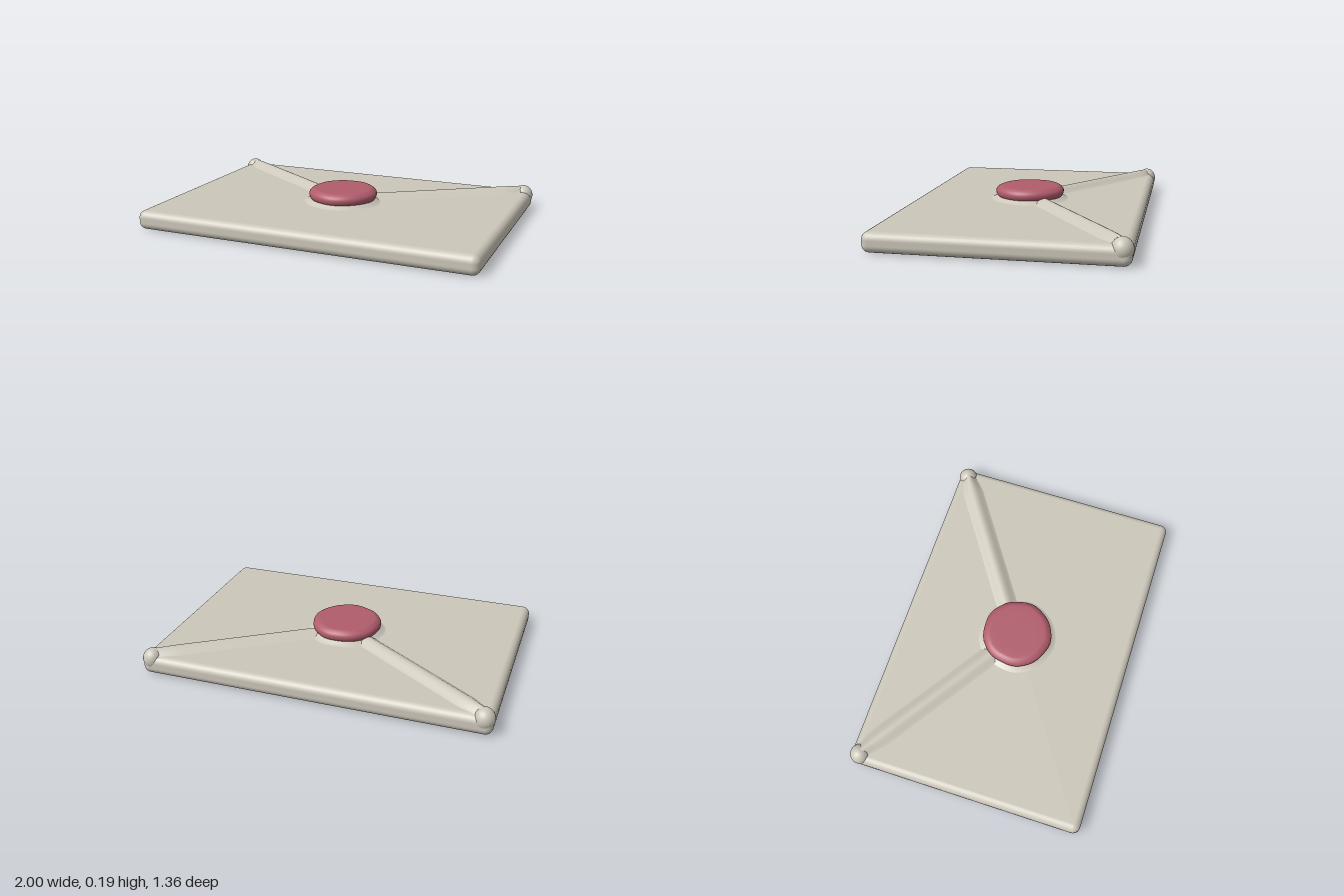
import * as THREE from 'three';
import { RoundedBoxGeometry } from 'three/addons/geometries/RoundedBoxGeometry.js';

export function createModel() {
  const model = new THREE.Group();
  const paper = new THREE.MeshStandardMaterial({ color: 0xccc7ba });
  const wax = new THREE.MeshStandardMaterial({ color: 0xb05c6c });
  const top = 0.11;

  function add(name, geometry, material, x = 0, y = 0, z = 0) {
    const mesh = new THREE.Mesh(geometry, material);
    mesh.name = name;
    mesh.position.set(x, y, z);
    model.add(mesh);
    return mesh;
  }

  // Thin padded body
  add('envelopeBody', new RoundedBoxGeometry(1.986, top, 1.356, 4, 0.042), paper, 0, top / 2, 0);

  // Folded flap edge: a soft bump running from a back corner to the seal
  const corner = new THREE.Vector2(0.945, -0.63);
  function ridgeGeometry(length) {
    const geo = new THREE.PlaneGeometry(length, 0.16, 24, 16);
    geo.rotateX(-Math.PI / 2);
    const p = geo.attributes.position;
    for (let i = 0; i < p.count; i++) {
      const across = p.getZ(i) / 0.08;
      const fromCorner = length / 2 - p.getX(i);
      const width = 0.55 + 0.45 * Math.min(1, fromCorner / 0.12);
      const bump = Math.pow(Math.cos(across * Math.PI / 2), 2);
      p.setY(i, -0.004 + 0.036 * bump);
      p.setZ(i, p.getZ(i) * width);
    }
    geo.computeVertexNormals();
    return geo;
  }

  for (const side of [-1, 1]) {
    const name = side > 0 ? 'left' : 'right';
    const length = corner.length();
    const ridge = add(name + 'FlapEdge', ridgeGeometry(length), paper,
      side * corner.x / 2, top, corner.y / 2);
    const angle = Math.atan2(-corner.y, corner.x);
    ridge.rotation.y = side > 0 ? angle : Math.PI - angle;

    // Swollen corner where the flap edge wraps over the side
    const bulge = add(name + 'CornerFold', new THREE.SphereGeometry(1, 24, 16), paper,
      side * 0.943, 0.082, -0.628);
    bulge.scale.set(0.057, 0.062, 0.057);
  }

  // Round parts with a slightly uneven rim
  function wobblyLathe(points, amount) {
    const geo = new THREE.LatheGeometry(
      new THREE.SplineCurve(points.map(([x, y]) => new THREE.Vector2(x, y))).getPoints(24), 48);
    const p = geo.attributes.position;
    for (let i = 0; i < p.count; i++) {
      const a = Math.atan2(p.getZ(i), p.getX(i));
      const k = 1 + amount * (Math.sin(5 * a + 0.6) + 0.6 * Math.sin(9 * a));
      p.setX(i, p.getX(i) * k);
      p.setZ(i, p.getZ(i) * k);
    }
    return geo;
  }

  // Paper pressed up around the seal
  add('sealRim', wobblyLathe([[0.235, 0.107], [0.215, 0.115], [0.19, 0.129], [0.17, 0.132]], 0.012),
    paper, 0, 0, 0.005);

  // Wax seal
  add('waxSeal', wobblyLathe([
    [0.165, 0.112], [0.188, 0.125], [0.2, 0.145], [0.197, 0.168],
    [0.175, 0.186], [0.15, 0.19], [0.07, 0.19], [0, 0.19]
  ], 0.01), wax, 0, 0, 0.005);

  return model;
}
